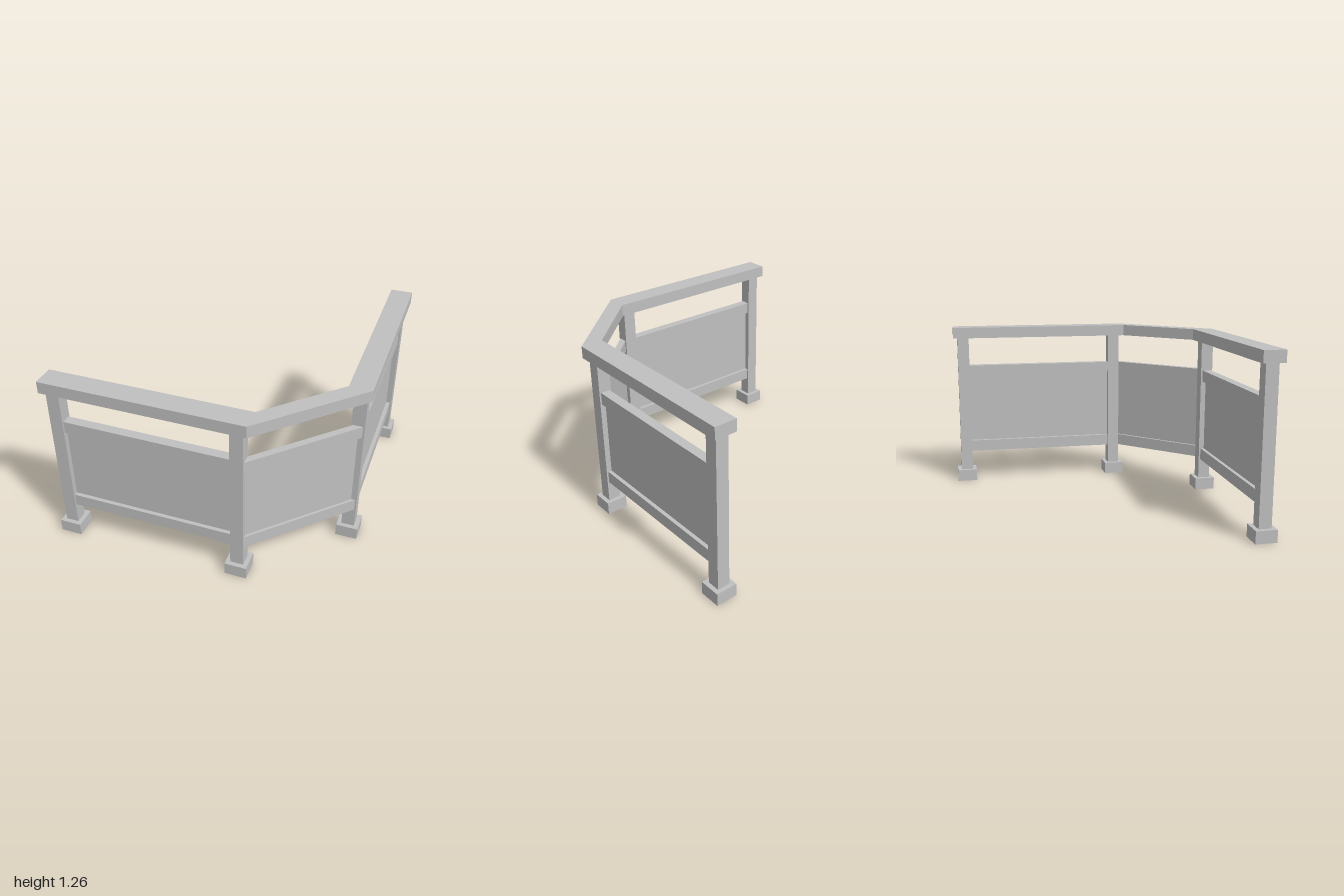
import * as THREE from 'three';

const metal = new THREE.MeshStandardMaterial({ color: 0xc0c0c0 });
metal.name = 'plain grey';

const LINE = 0.923; // distance of the post line from the centre
const BEND = 0.313; // position of the two posts at the chamfered corner
const POST = 0.09;
const BASE = 0.152;
const RAIL_Y = 1.178;

// Extrudes a plan outline of [x, z] corners from y0 to y1
function prism(name, corners, y0, y1) {
  const shape = new THREE.Shape(corners.map(([x, z]) => new THREE.Vector2(x, -z)));
  const geometry = new THREE.ExtrudeGeometry(shape, { depth: y1 - y0, bevelEnabled: false });
  geometry.rotateX(-Math.PI / 2);
  geometry.translate(0, y0, 0);
  const mesh = new THREE.Mesh(geometry, metal);
  mesh.name = name;
  return mesh;
}

function box(name, w, h, y) {
  const mesh = new THREE.Mesh(new THREE.BoxGeometry(w, h, w), metal);
  mesh.position.y = y + h / 2;
  mesh.name = name;
  return mesh;
}

// Plan outlines of the three sections, for a member of the given half thickness
function sections(t) {
  const a = LINE - t, b = LINE + t, e = BEND + POST / 2;
  const start = -LINE + POST / 2, end = BEND - POST / 2;
  const front = [[start, a], [end, a], [end, b], [start, b]];
  return {
    front,
    corner: [[e, a], [a, e], [b, e], [e, b]],
    side: front.map(([x, z]) => [z, x]),
  };
}

export function createModel() {
  const model = new THREE.Group();
  model.name = 'cornerRailing';

  // Posts standing on square feet
  for (const [x, z] of [[-LINE, LINE], [BEND, LINE], [LINE, BEND], [LINE, -LINE]]) {
    const post = new THREE.Group();
    post.name = 'post';
    post.position.set(x, 0, z);
    post.add(box('postFoot', BASE, 0.09, 0), box('postShaft', POST, RAIL_Y - 0.09, 0.09));
    model.add(post);
  }

  // Lower and upper rails with a thin infill panel between them
  const rails = sections(0.033), panels = sections(0.006);
  for (const key of ['front', 'corner', 'side']) {
    model.add(
      prism(key + 'LowerRail', rails[key], 0.24, 0.328),
      prism(key + 'UpperRail', rails[key], 0.865, 0.952),
      prism(key + 'Panel', panels[key], 0.328, 0.865),
    );
  }

  // One continuous handrail following the bend
  const inner = 0.845, bend = 0.389;
  model.add(prism('handrail', [
    [-1, 1], [bend, 1], [1, bend], [1, -1],
    [inner, -1], [inner, bend], [bend, inner], [-1, inner],
  ], RAIL_Y, 1.262));

  return model;
}
